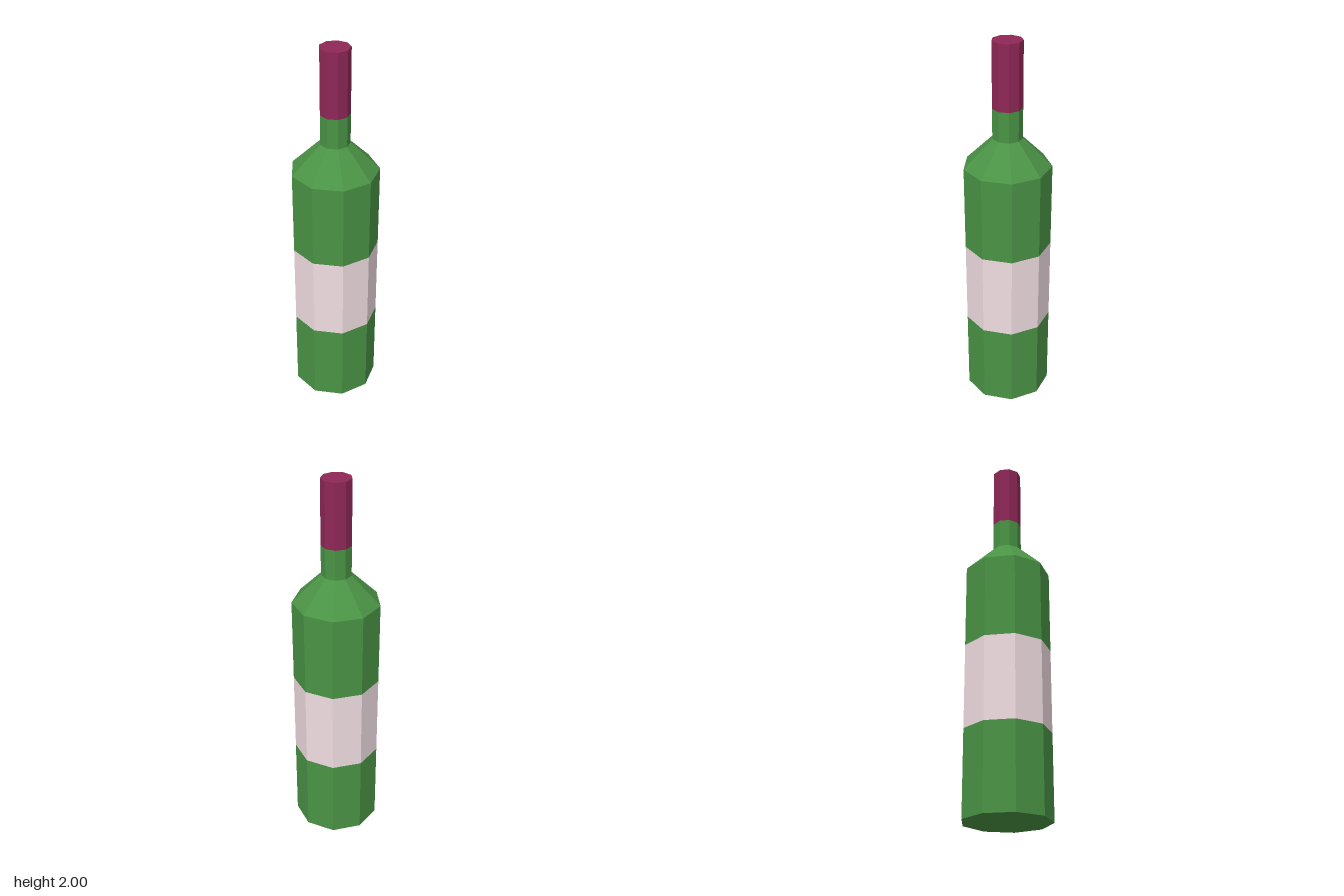
import * as THREE from 'three';

const SIDES = 9;
const BODY = 0.229; // body radius
const NECK = 0.078; // neck radius

export function createModel() {
  const bottle = new THREE.Group();
  bottle.name = 'bottle';

  const material = (color) => new THREE.MeshStandardMaterial({ color, flatShading: true });
  const glass = material(0x4a9345);
  const paper = material(0xf0dde2);
  const foil = material(0x8f2757);

  // Each part is a nine-sided turned profile of [radius, height], listed bottom to top
  const turned = (name, mat, profile) => {
    const points = profile.map(([r, y]) => new THREE.Vector2(r, y));
    const geometry = new THREE.LatheGeometry(points, SIDES, Math.PI).toNonIndexed();
    geometry.computeVertexNormals();
    const mesh = new THREE.Mesh(geometry, mat);
    mesh.name = name;
    bottle.add(mesh);
  };

  // Closed base and lower glass
  turned('lowerBody', glass, [[0, 0], [BODY, 0], [BODY, 0.45]]);
  // Paper band, flush with the glass
  turned('label', paper, [[BODY, 0.45], [BODY, 0.9]]);
  // Upper glass, sloping shoulder and bare neck
  turned('upperBody', glass, [[BODY, 0.9], [BODY, 1.35]]);
  turned('shoulder', glass, [[BODY, 1.35], [NECK, 1.5]]);
  turned('neck', glass, [[NECK, 1.5], [NECK, 1.66]]);
  // Foil sleeve with closed top
  turned('foilCap', foil, [[NECK, 1.66], [NECK, 2], [0, 2]]);

  // Odd side count: shift so the depth is centred
  bottle.children.forEach((part) => { part.position.z = 0.0065; });
  return bottle;
}
